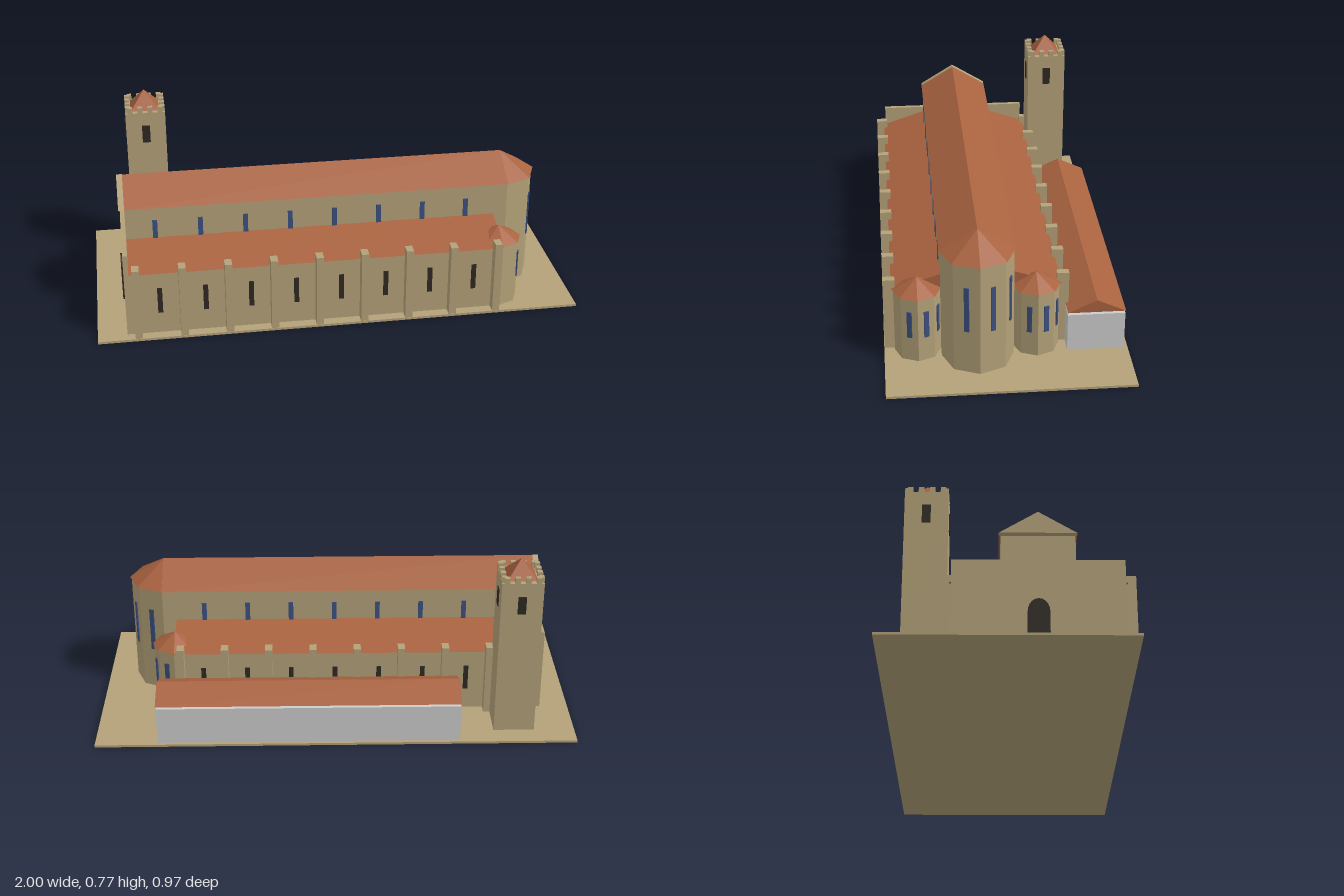
import * as THREE from 'three';

const mat = (color) => new THREE.MeshStandardMaterial({ color, flatShading: true });

export function createModel() {
  const root = new THREE.Group();
  const stone = mat(0xb3a178), tile = mat(0xa8623f), glass = mat(0x3c5080);
  const dark = mat(0x2e2822), grey = mat(0xcccccc);
  const AXIS = 0.115; // z of the nave centre line

  const add = (name, geometry, material, parent = root) => {
    const mesh = new THREE.Mesh(geometry, material);
    mesh.name = name;
    parent.add(mesh);
    return mesh;
  };

  // box given by its extents
  const block = (name, x0, x1, y0, y1, z0, z1, material, parent) => {
    const g = new THREE.BoxGeometry(x1 - x0, y1 - y0, z1 - z0);
    g.translate((x0 + x1) / 2, (y0 + y1) / 2, (z0 + z1) / 2);
    return add(name, g, material, parent);
  };

  // [z, y] cross-section run along x
  const prism = (name, x0, x1, section, material) => {
    const shape = new THREE.Shape(section.map(([z, y]) => new THREE.Vector2(-z, y)));
    const g = new THREE.ExtrudeGeometry(shape, { depth: x1 - x0, bevelEnabled: false, curveSegments: 8 });
    g.rotateY(Math.PI / 2).translate(x0, 0, 0);
    return add(name, g, material);
  };

  const gable = (name, x0, x1, z, half, y0, y1, material) =>
    prism(name, x0, x1, [[z - half, y0], [z + half, y0], [z, y1]], material);

  // Ground slab
  block('groundSlab', -1, 1, 0, 0.01, -0.485, 0.485, stone);

  // Nave
  block('naveWalls', -0.86, 0.736, 0.01, 0.486, AXIS - 0.143, AXIS + 0.143, stone);
  gable('naveRoof', -0.86, 0.736, AXIS, 0.149, 0.486, 0.576, tile);

  // West front with gable and arched door
  block('westFront', -0.88, -0.86, 0.01, 0.372, AXIS - 0.327, AXIS + 0.327, stone);
  gable('westGable', -0.884, -0.86, AXIS, 0.149, 0.486, 0.578, stone);
  const arch = [[AXIS - 0.042, 0.01]];
  for (let i = 0; i <= 10; i++) {
    const a = Math.PI * (1 - i / 10);
    arch.push([AXIS + 0.042 * Math.cos(a), 0.15 + 0.055 * Math.sin(a)]);
  }
  arch.push([AXIS + 0.042, 0.01]);
  prism('westDoor', -0.89, -0.878, arch, dark);

  // Aisles with buttresses and windows, mirrored about the nave axis
  for (const s of [1, -1]) {
    const z = (d) => AXIS + s * d;
    const span = (a, b) => [Math.min(z(a), z(b)), Math.max(z(a), z(b))];
    block('aisleWalls', -0.86, 0.68, 0.01, 0.288, ...span(0.143, 0.327), stone);
    prism('aisleRoof', -0.86, 0.68, [[z(0.143), 0.286], [z(0.335), 0.286], [z(0.143), 0.35]], tile);
    for (let i = 0; i < 9; i++) {
      const x = -0.833 + 0.1855 * i;
      block('buttress', x - 0.015, x + 0.015, 0.01, 0.322, ...span(0.32, 0.368), stone);
      if (i === 8) continue;
      const w = x + 0.0928;
      block('aisleWindow', w - 0.01, w + 0.01, 0.103, 0.216, ...span(0.322, 0.331), dark);
      block('clerestoryWindow', w - 0.01, w + 0.01, 0.32, 0.43, ...span(0.138, 0.147), glass);
    }
  }

  // Eight-sided apses with pointed roofs and three windows
  const apse = (name, x, z, r, wallTop, peak, w0, w1) => {
    const group = new THREE.Group();
    group.name = name;
    group.position.set(x, 0, z);
    root.add(group);
    const wall = new THREE.CylinderGeometry(r, r, wallTop - 0.01, 8);
    add('apseWall', wall.translate(0, (wallTop + 0.01) / 2, 0), stone, group);
    const h = peak - wallTop;
    const roof = new THREE.ConeGeometry(r * 1.045, h, 8);
    add('apseRoof', roof.translate(0, wallTop + h / 2, 0), tile, group);
    for (const k of [-0.5, 0.5, 1.5]) {
      const g = new THREE.BoxGeometry(0.01, w1 - w0, 0.02);
      g.translate(r * Math.cos(Math.PI / 8), (w0 + w1) / 2, 0).rotateY(k * Math.PI / 4);
      add('apseWindow', g, glass, group);
    }
  };
  apse('mainApse', 0.736, AXIS, 0.143, 0.486, 0.576, 0.196, 0.39);
  for (const s of [1, -1]) apse('sideApse', 0.68, AXIS + s * 0.235, 0.092, 0.288, 0.343, 0.116, 0.231);

  // Bell tower
  const tower = new THREE.Group();
  tower.name = 'bellTower';
  tower.position.set(-0.745, 0, -0.313);
  root.add(tower);
  const T = 0.085;
  block('towerWalls', -T, T, 0.01, 0.696, -T, T, stone, tower);
  const cap = new THREE.ConeGeometry(0.061 * Math.SQRT2, 0.075, 4);
  add('towerRoof', cap.rotateY(Math.PI / 4).translate(0, 0.7335, 0), tile, tower);
  for (let q = 0; q < 4; q++) {
    const side = new THREE.Group();
    side.name = 'towerSide';
    side.rotation.y = q * Math.PI / 2;
    tower.add(side);
    block('belfryWindow', -0.017, 0.017, 0.56, 0.638, T - 0.005, T + 0.004, dark, side);
    for (let i = 0; i < 4; i++) {
      const x = (i - 1.5) * 0.0427;
      block('merlon', x - 0.0105, x + 0.0105, 0.694, 0.72, T - 0.021, T, stone, side);
    }
  }

  // Side hall along the back
  block('hallWalls', -0.513, 0.741, 0.01, 0.172, -0.47, -0.241, grey);
  gable('hallRoof', -0.515, 0.743, -0.356, 0.116, 0.183, 0.237, tile);
  block('hallDoor', 0.09, 0.14, 0.01, 0.105, -0.243, -0.238, dark);

  return root;
}
